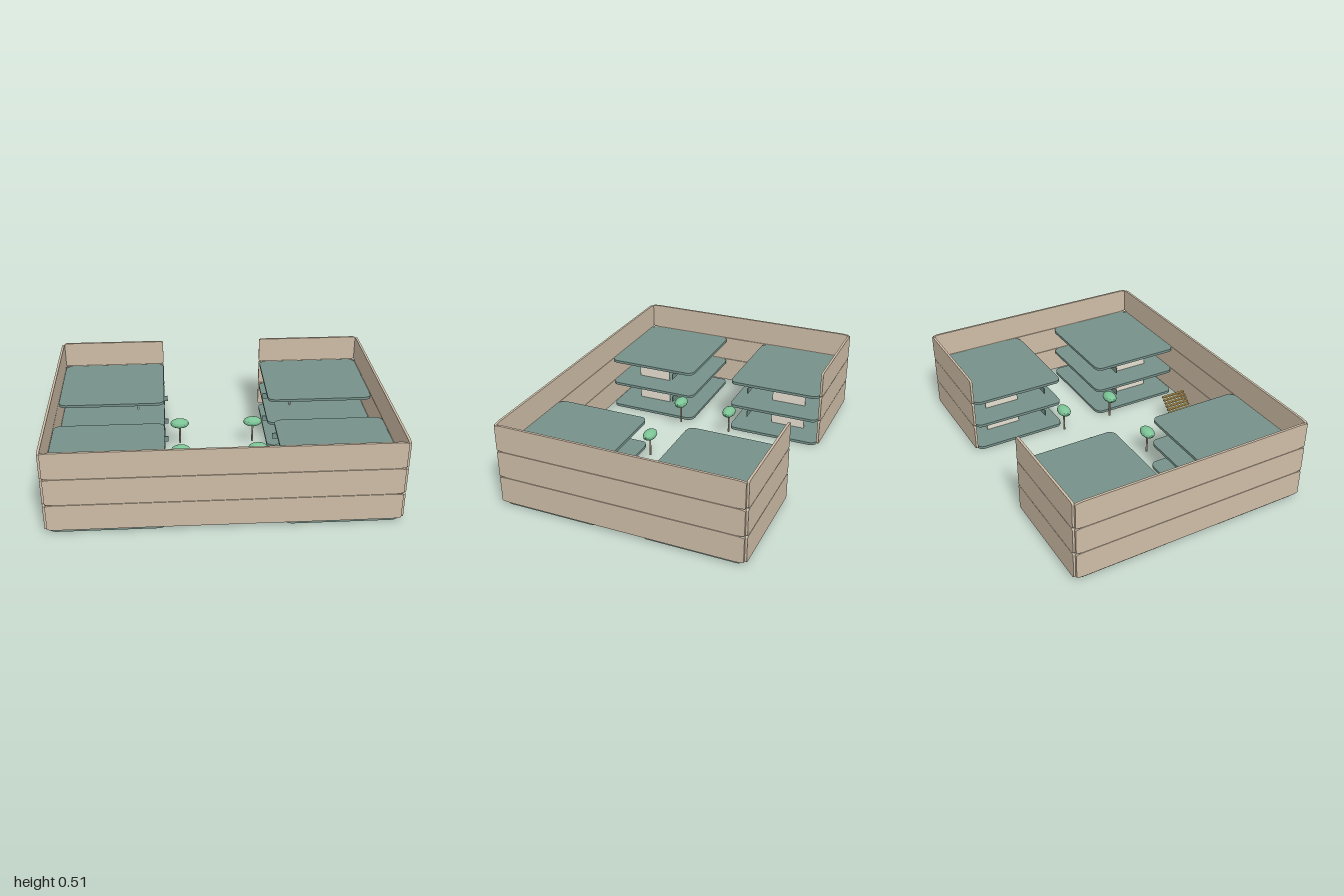
import * as THREE from 'three';

const mat = (name, color, extra = {}) => Object.assign(new THREE.MeshStandardMaterial({ color, ...extra }), { name });

// Panel outline with elliptical corners, centred on the origin
function roundedPanel(w, h, rx, ry, depth) {
  const s = new THREE.Shape(), a = w / 2, b = h / 2;
  const corner = (cx, cy, from) => s.absellipse(cx, cy, rx, ry, from, from + Math.PI / 2, false, 0);
  s.moveTo(a, -b + ry);
  corner(a - rx, b - ry, 0);
  corner(-a + rx, b - ry, Math.PI / 2);
  corner(-a + rx, -b + ry, Math.PI);
  corner(a - rx, -b + ry, Math.PI * 1.5);
  const g = new THREE.ExtrudeGeometry(s, { depth, bevelEnabled: false, curveSegments: 6 });
  g.translate(0, 0, -depth / 2);
  return g;
}

export function createModel() {
  const root = new THREE.Group();
  root.name = 'courtyardBuilding';
  const wallMat = mat('beige wall', 0xcfbda7);
  const slabMat = mat('grey green floor', 0x76928a);
  const creamMat = mat('cream partition', 0xe8e0d2);
  const leafMat = mat('leaf green', 0x7cc496, { flatShading: true });
  const trunkMat = mat('trunk', 0xb9a48c);
  const stepMat = mat('golden wood', 0xc2a055);

  const add = (name, geo, material, x, y, z, parent = root) => {
    const m = new THREE.Mesh(geo, material);
    m.name = name;
    m.position.set(x, y, z);
    parent.add(m);
    return m;
  };

  const storey = 0.164, panelH = 0.161, t = 0.014;
  const frontGeo = roundedPanel(1.975, panelH, 0.06, 0.008, t);
  const sideGeo = roundedPanel(1.45, panelH, 0.06, 0.008, t).rotateY(Math.PI / 2);
  const backGeo = roundedPanel(0.66, panelH, 0.02, 0.01, t);
  const slabGeo = roundedPanel(0.655, 0.587, 0.05, 0.04, 0.017).rotateX(-Math.PI / 2);
  const beamGeo = new THREE.BoxGeometry(0.4, 0.035, 0.006);
  const partitionGeo = new THREE.BoxGeometry(0.008, storey - 0.017, 0.22);

  for (let k = 0; k < 3; k++) {
    const level = new THREE.Group();
    level.name = 'storey' + (k + 1);
    root.add(level);
    const base = k * storey, wallY = base + 0.019 + panelH / 2;

    // Outer walls, with an open entrance at the back
    add('frontWall', frontGeo, wallMat, 0, wallY, 0.725, level);
    for (const sx of [-1, 1]) {
      add('sideWall', sideGeo, wallMat, sx * 0.993, wallY, 0, level);
      add('backWall', backGeo, wallMat, sx * 0.657, wallY, -0.73, level);

      // Four floor plates with their beams and partitions
      for (const sz of [-1, 1]) {
        add('floorPlate', slabGeo, slabMat, sx * 0.656, base + 0.0085, sz * 0.425, level);
        if (k > 0) {
          add('floorBeam', beamGeo, slabMat, sx * 0.505, base - 0.0175, sz * 0.262, level);
          add('partition', partitionGeo, creamMat, sx * 0.5, base - (storey - 0.017) / 2, sz * 0.48, level);
        }
      }
    }
  }

  // Courtyard trees
  const crownGeo = new THREE.SphereGeometry(1, 12, 8).scale(0.06, 0.03, 0.04);
  const trunkGeo = new THREE.CylinderGeometry(0.006, 0.006, 0.13, 8);
  for (const sx of [-1, 1]) for (const sz of [-1, 1]) {
    const tree = new THREE.Group();
    tree.name = 'tree';
    tree.position.set(sx * 0.233, 0, sz * 0.167);
    root.add(tree);
    add('treeTrunk', trunkGeo, trunkMat, 0, 0.1, 0, tree);
    add('treeCrown', crownGeo, leafMat, 0, 0.178, 0, tree);
  }

  // Open stair of separate treads, rising towards +x
  const stair = new THREE.Group();
  stair.name = 'stair';
  root.add(stair);
  const steps = 11, treadGeo = new THREE.BoxGeometry(0.015, 0.01, 0.165);
  for (let i = 0; i < steps; i++) {
    const f = i / (steps - 1);
    add('stairTread', treadGeo, stepMat, -0.084 + f * 0.163, 0.012 + f * 0.15, 0.56, stair);
  }
  return root;
}
